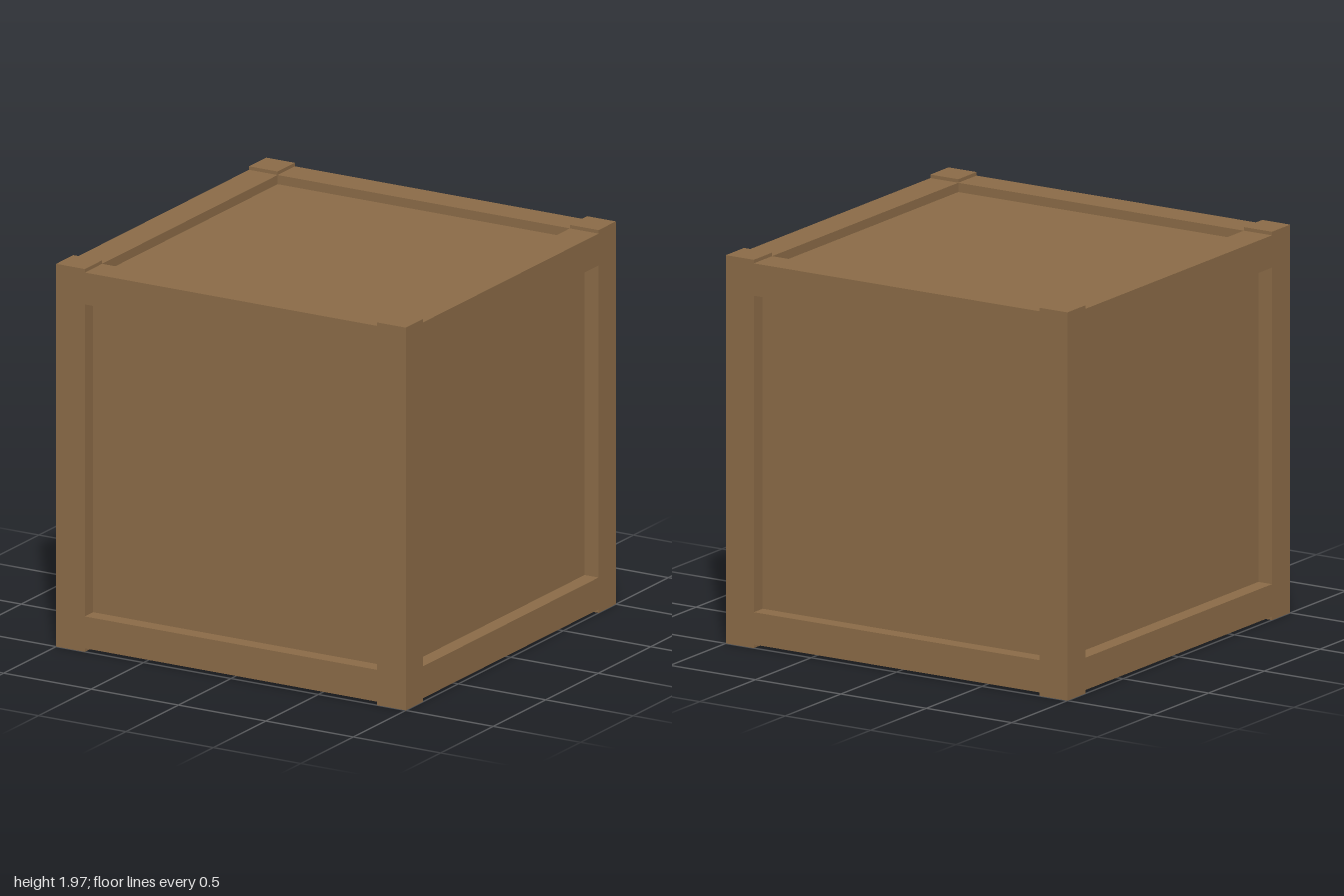
import * as THREE from 'three';

export function createModel() {
  const crate = new THREE.Group();
  crate.name = 'crate';
  const wood = new THREE.MeshStandardMaterial({ color: 0x8b6b47 });
  wood.name = 'brown wood';

  const HEIGHT = 1.97, MID = HEIGHT / 2;
  const BEAM = 0.164;            // thickness of the frame timbers
  const OFFSET = 1 - BEAM / 2;   // beam centre from the crate axis
  const SPAN = 2 - 2 * BEAM;     // clear length between corner posts
  const RAIL_Y = MID - 0.018 - BEAM / 2; // rails sit just inside the post ends

  function box(name, w, h, d, x, y, z) {
    const mesh = new THREE.Mesh(new THREE.BoxGeometry(w, h, d), wood);
    mesh.name = name;
    mesh.position.set(x, y, z);
    crate.add(mesh);
  }

  // Recessed panels on all six sides
  box('panelBody', 1.84, 1.84, 1.84, 0, MID, 0);

  for (const a of [-1, 1]) {
    for (const b of [-1, 1]) {
      // Corner posts
      box('cornerPost', BEAM, HEIGHT, BEAM, a * OFFSET, MID, b * OFFSET);
      // Top and bottom rails, flush with the outer faces of the posts
      const y = MID + a * RAIL_Y;
      box('crossRail', SPAN, BEAM, BEAM, 0, y, b * OFFSET);
      box('sideRail', BEAM, BEAM, SPAN, b * OFFSET, y, 0);
    }
  }
  return crate;
}
